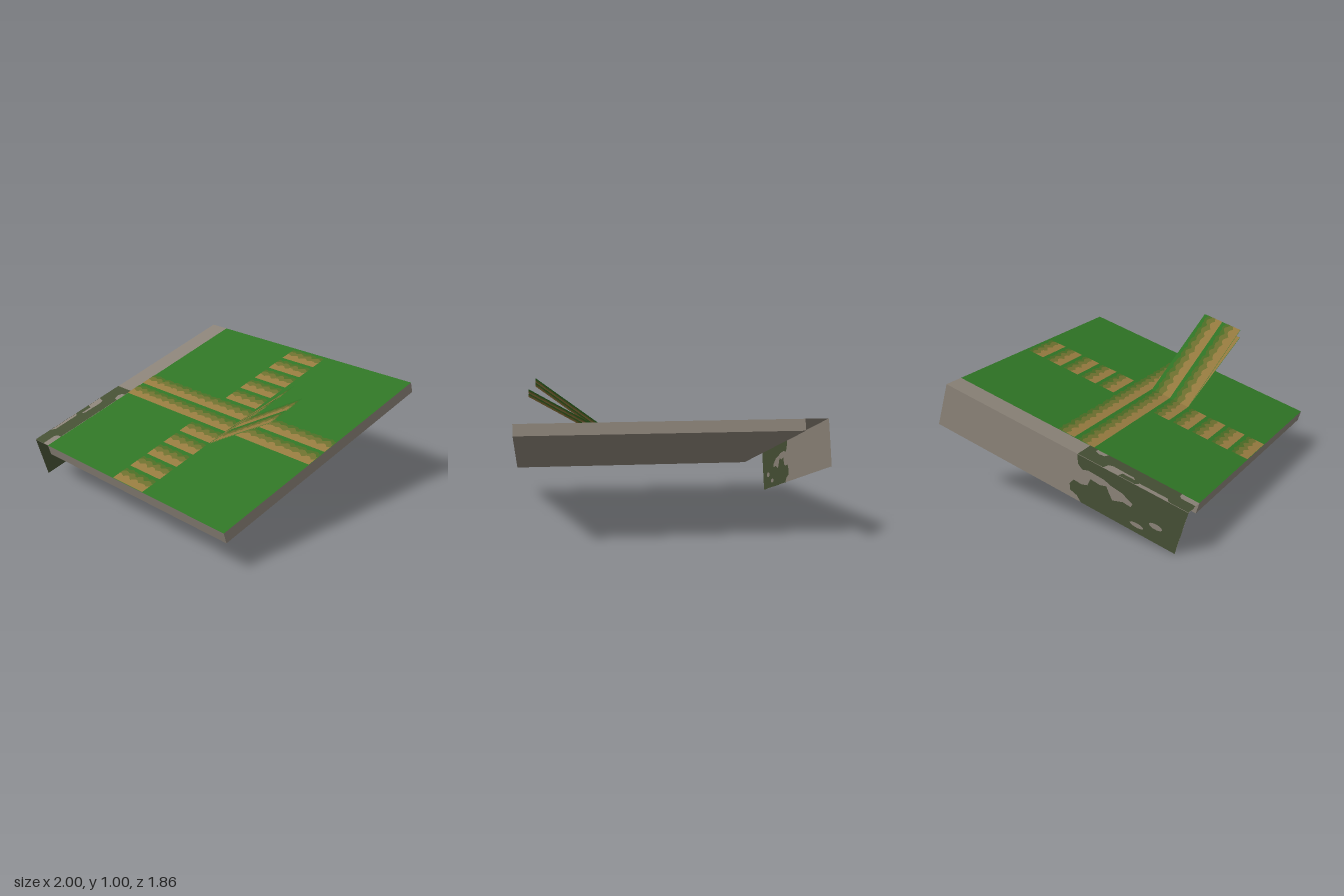
import * as THREE from 'three';

const T = 2 / 13;            // one tile
const HALF = 6 * T;          // half the slab
const TILT = THREE.MathUtils.degToRad(16.5);

const mat = (name, color, side = THREE.DoubleSide) => {
  const m = new THREE.MeshStandardMaterial({ color, side });
  m.name = name;
  return m;
};

function add(parent, name, geometry, material, x = 0, y = 0, z = 0) {
  const mesh = new THREE.Mesh(geometry, material);
  mesh.name = name;
  mesh.position.set(x, y, z);
  parent.add(mesh);
  return mesh;
}

// Flat outline with optional holes, from [x, y] pairs
function flat(points, holes = []) {
  const vec = (list) => list.map(([x, y]) => new THREE.Vector2(x, y));
  const shape = new THREE.Shape(vec(points));
  holes.forEach((h) => shape.holes.push(new THREE.Path(vec(h))));
  return new THREE.ShapeGeometry(shape);
}

// Strip lying in x-z, between two scalloped lines given as fractions of a tile
function ribbon(tiles, top, bottom) {
  const steps = tiles * 12;
  const line = (f) => Array.from({ length: steps + 1 }, (_, i) => [(i / steps) * tiles * T, -f(i / 12) * T]);
  return flat([...line(top), ...line(bottom).reverse()]).rotateX(-Math.PI / 2);
}

export function createModel() {
  const stone = mat('stone grey', 0x8a8277);
  const grass = mat('grass green', 0x2f7425);
  const darkOlive = mat('dark olive', 0x4a6c25);
  const olive = mat('olive', 0x6d6f2e);
  const earth = mat('earth brown', 0x957a3f);
  const moss = mat('moss green', 0x454f34);

  // Scalloped lines that separate the bands of a path tile
  const scallop = (base, amp, bumps, phase) => (u) =>
    base - amp * Math.abs(Math.sin(Math.PI * (u * bumps + phase))) + 0.03 * Math.sin(u * 9 + phase);
  const edges = [scallop(0.22, 0.06, 3, 0.2), scallop(0.44, 0.14, 2, 0.1), scallop(0.68, 0.12, 2, 0.35), () => 0.99];
  const bands = [['pathFringe', darkOlive], ['pathTurf', olive], ['pathEarth', earth]];

  function pathRow(parent, tiles, x, y, z) {
    bands.forEach(([name, m], i) => add(parent, name, ribbon(tiles, edges[i], edges[i + 1]), m, x, y, z));
  }

  const model = new THREE.Group();
  model.name = 'slopedTerrain';
  const slope = new THREE.Group();
  slope.name = 'slope';
  slope.rotation.x = TILT;
  slope.position.set(0, 0.557, 0.0435);
  model.add(slope);

  // Slab with a grass top and stone edges
  const midX = T / 2;
  add(slope, 'slab', new THREE.BoxGeometry(12 * T, T / 2, 12 * T),
    [stone, stone, grass, stone, stone, stone], midX, -T / 4, 0);

  // Crossing paths on the grass
  const paths = new THREE.Group();
  paths.name = 'paths';
  slope.add(paths);
  for (let row = 0; row < 12; row++) {
    const long = row === 5 || row === 6;
    pathRow(paths, long ? 12 : 2, midX - (long ? 6 : 1) * T, 0.003, -HALF + row * T);
  }

  // Two raised path sheets sharing one hinge line
  [37, 30].forEach((angle, i) => {
    const sheet = new THREE.Group();
    sheet.name = i ? 'lowerRaisedPath' : 'upperRaisedPath';
    sheet.position.set(midX + T, 0, 0);
    sheet.rotation.z = THREE.MathUtils.degToRad(angle);
    slope.add(sheet);
    add(sheet, 'pathSheet', new THREE.PlaneGeometry(5 * T, 2 * T).rotateX(-Math.PI / 2), grass, 2.5 * T, 0, T);
    for (const y of [-0.002, 0.002]) for (const row of [0, 1]) pathRow(sheet, 5, 0, y, row * T);
  });

  // Stone ledge and hanging side wall
  add(slope, 'ledge', new THREE.PlaneGeometry(T, 12 * T).rotateX(-Math.PI / 2), stone, -1 + T / 2, 0, 0);
  add(slope, 'sideWall', new THREE.PlaneGeometry(12 * T, 2 * T).rotateY(-Math.PI / 2), stone, -1, -T, 0);

  // Moss on the wall: distance from the front end, depth below the ledge
  const onWall = (list) => list.map(([s, d]) => [HALF - s, -d]);
  const oval = (s, d, a, b) => Array.from({ length: 10 }, (_, i) => {
    const t = (i / 10) * Math.PI * 2;
    return [s + a * Math.cos(t), d + b * Math.sin(t)];
  });
  const wallMoss = onWall([
    [0, 0], [0.8, 0], [0.78, 0.06], [0.74, 0.085], [0.7, 0.07], [0.58, 0.075], [0.527, 0.09], [0.44, 0.1],
    [0.355, 0.135], [0.36, 0.16], [0.42, 0.155], [0.489, 0.181], [0.52, 0.15], [0.553, 0.11], [0.6, 0.125],
    [0.67, 0.118], [0.678, 0.17], [0.72, 0.185], [0.78, 0.181], [0.8, 0.22], [0.785, 0.26], [0.73, 0.275],
    [0.69, 2 * T], [0, 2 * T],
  ]);
  const wallGaps = [oval(0.168, 0.201, 0.048, 0.019), oval(0.289, 0.258, 0.05, 0.015)].map(onWall);

  // Moss on the ledge: distance from the outer edge, distance from the front end
  const onLedge = (list) => list.map(([x, s]) => [-1 + x, s - HALF]);
  const ledgeMoss = onLedge([
    [0, 0], [0.1, 0], [0.1, 0.1], [0.12, 0.12], [T, 0.12], [T, 0.66], [0.12, 0.67], [0.11, 0.71], [0.125, 0.74],
    [T, 0.74], [T, 0.8], [0, 0.8], [0, 0.61], [0.05, 0.6], [0.065, 0.57], [0.06, 0.42], [0.04, 0.4],
    [0.04, 0.49], [0, 0.5], [0, 0.38], [0.03, 0.36], [0.03, 0.16], [0, 0.14],
  ]);
  for (const o of [-0.002, 0.002]) {
    add(slope, 'wallMoss', flat(wallMoss, wallGaps).rotateY(-Math.PI / 2), moss, -1 + o, 0, 0);
    add(slope, 'ledgeMoss', flat(ledgeMoss).rotateX(-Math.PI / 2), moss, 0, o, 0);
  }

  return model;
}
